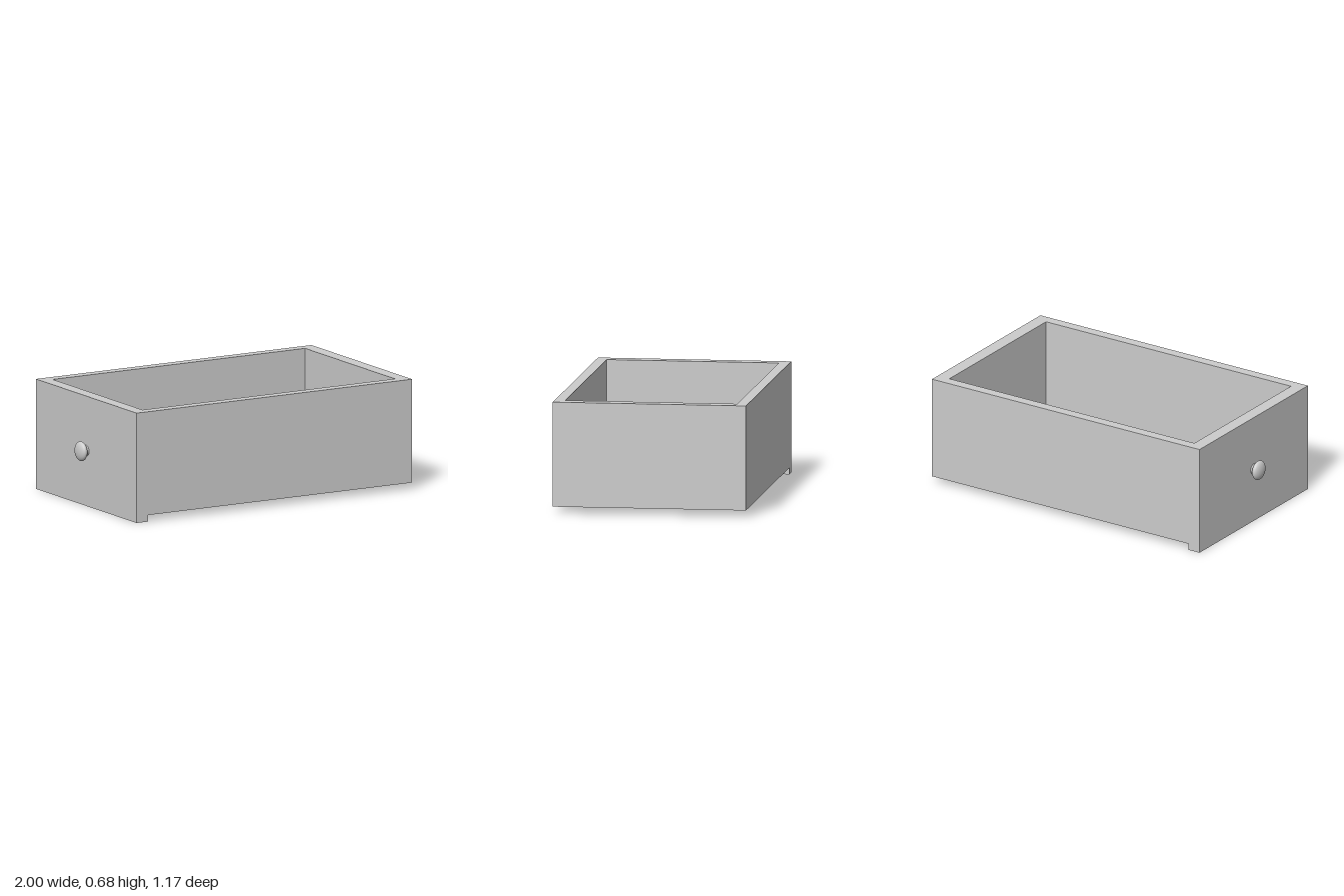
import * as THREE from 'three';

const X0 = -0.935, X1 = 1, HALF = 0.587, BASE = 0.04, TOP = 0.675;
const IN = { x0: -0.855, x1: 0.917, z: 0.523, floor: 0.13 };

function rectangle(Type, x0, x1, half) {
  const s = new Type();
  s.moveTo(x0, -half);
  s.lineTo(x1, -half);
  s.lineTo(x1, half);
  s.lineTo(x0, half);
  s.closePath();
  return s;
}

export function createModel() {
  const group = new THREE.Group();
  const material = new THREE.MeshStandardMaterial({ color: 0xcccccc });

  const add = (name, geometry) => {
    const mesh = new THREE.Mesh(geometry, material);
    mesh.name = name;
    group.add(mesh);
  };
  const block = (name, x0, x1, y0, y1, half) => {
    const geometry = new THREE.BoxGeometry(x1 - x0, y1 - y0, half * 2);
    add(name, geometry.translate((x0 + x1) / 2, (y0 + y1) / 2, 0));
  };

  // four walls as one open frame
  const outline = rectangle(THREE.Shape, X0, X1, HALF);
  outline.holes.push(rectangle(THREE.Path, IN.x0, IN.x1, IN.z));
  const walls = new THREE.ExtrudeGeometry(outline, { depth: TOP - BASE, bevelEnabled: false });
  add('drawerWalls', walls.rotateX(-Math.PI / 2).translate(0, BASE, 0));

  // bottom panel, and the lip where the face board hangs lower
  block('drawerFloor', IN.x0, IN.x1, BASE, IN.floor, IN.z);
  block('faceLip', X0, IN.x0, 0, BASE, HALF);

  // round pull: short stem and flattened ball
  const stem = new THREE.CylinderGeometry(0.033, 0.033, 0.035, 32);
  add('knobStem', stem.rotateZ(Math.PI / 2).translate(-0.95, 0.34, 0));
  const ball = new THREE.SphereGeometry(0.06, 32, 20);
  add('knob', ball.rotateZ(Math.PI / 2).scale(0.46, 1, 1).translate(-0.972, 0.34, 0));

  return group;
}
